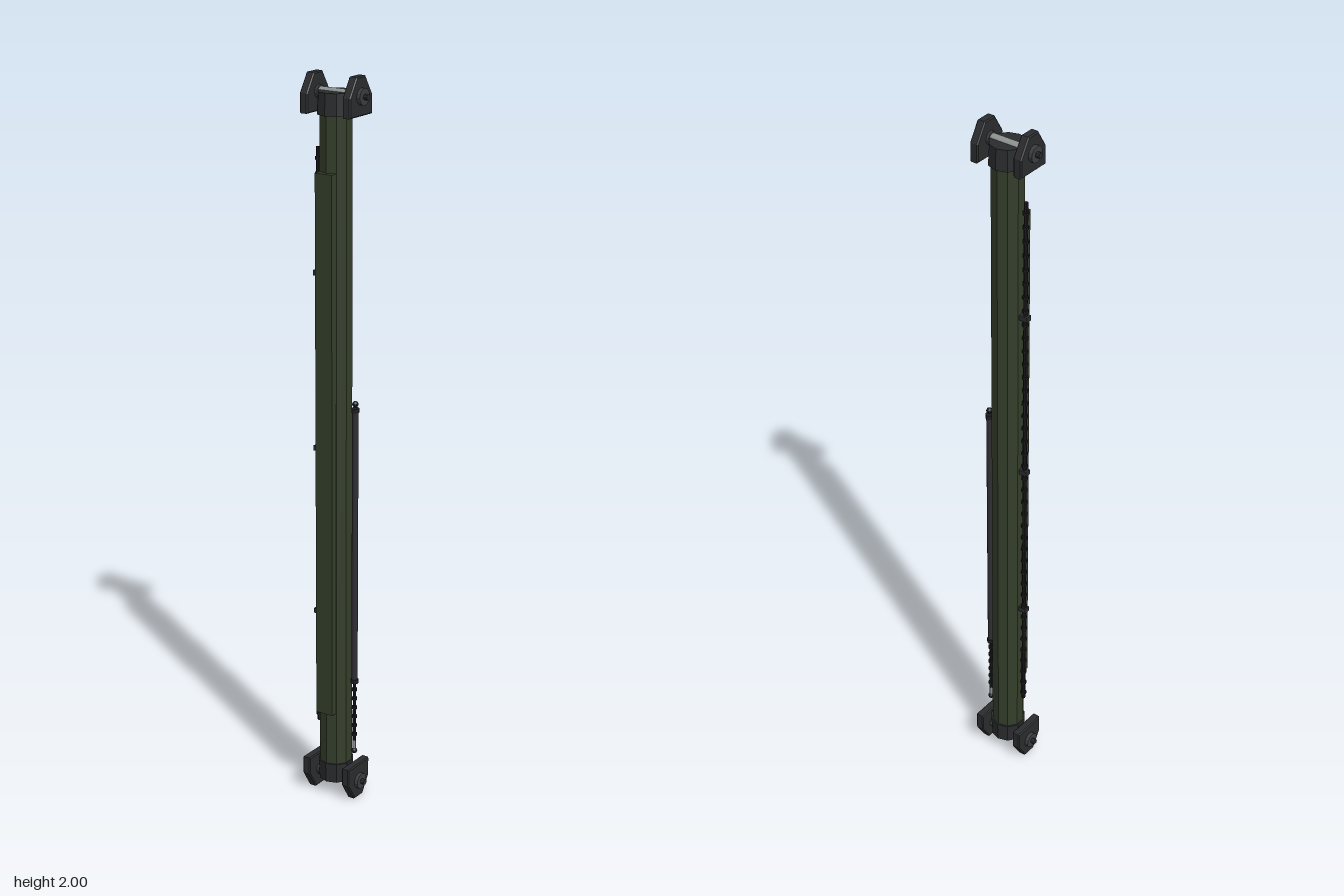
import * as THREE from 'three';

const mat = (name, color, flat = true) => {
  const m = new THREE.MeshStandardMaterial({ color, flatShading: flat });
  m.name = name;
  return m;
};

export function createModel() {
  const green = mat('olive green', 0x343f2b);
  const dark = mat('dark iron', 0x2b2c2e);
  const black = mat('black rubber', 0x1d1d20);
  const gunmetal = mat('gunmetal', 0x2e2e34, false);
  const steel = mat('steel', 0x8c9290, false);
  const boltGrey = mat('bolt grey', 0x3b3e41);

  const model = new THREE.Group();
  model.name = 'strut';
  const strut = new THREE.Group();
  strut.name = 'strutAssembly';
  strut.position.z = -0.0035;
  model.add(strut);

  const add = (parent, name, geometry, material, x = 0, y = 0, z = 0) => {
    const mesh = new THREE.Mesh(geometry, material);
    mesh.name = name;
    mesh.position.set(x, y, z);
    parent.add(mesh);
    return mesh;
  };
  // Upright cylinder between two heights
  const post = (parent, name, rTop, rBottom, y0, y1, sides, material, x = 0) =>
    add(parent, name, new THREE.CylinderGeometry(rTop, rBottom, y1 - y0, sides), material, x, (y0 + y1) / 2);
  // Cylinder lying along x between two positions
  const axle = (parent, name, r, x0, x1, y, sides, material) => {
    const g = new THREE.CylinderGeometry(r, r, x1 - x0, sides).rotateZ(Math.PI / 2);
    return add(parent, name, g, material, (x0 + x1) / 2, y);
  };

  // Main tube and its front cover panel
  post(strut, 'mainTube', 0.0435, 0.046, 0.08, 1.92, 10, green);
  add(strut, 'frontPanel', new THREE.BoxGeometry(0.052, 1.5, 0.022), green, 0, 1.005, 0.0455);

  // Lug outline: square at the tube, tapering to the tip
  const outline = new THREE.Shape([
    [-0.047, 0.003], [0.047, 0.003], [0.047, 0.05], [0.018, 0.097], [-0.018, 0.097], [-0.047, 0.05],
  ].map(([z, y]) => new THREE.Vector2(z, y)));
  const lugGeometry = new THREE.ExtrudeGeometry(outline, {
    depth: 0.018, bevelEnabled: true, bevelSize: 0.003, bevelThickness: 0.003, bevelSegments: 1,
  }).translate(0, 0, -0.009).rotateY(Math.PI / 2);

  // Fork end: collar, cross pin, and a lug with boss and pin tip each side
  const makeEnd = (name) => {
    const end = new THREE.Group();
    end.name = name;
    post(end, 'collar', 0.047, 0.05, 0, 0.057, 10, dark);
    axle(end, 'crossPin', 0.014, -0.054, 0.054, 0.05, 16, steel);
    for (const s of [-1, 1]) {
      const span = (a, b) => (s > 0 ? [a, b] : [-b, -a]);
      add(end, 'lug', lugGeometry, dark, s * 0.065, 0);
      axle(end, 'washer', 0.018, ...span(0.046, 0.055), 0.05, 12, boltGrey);
      axle(end, 'boss', 0.022, ...span(0.075, 0.087), 0.05, 12, boltGrey);
      axle(end, 'pinTip', 0.008, ...span(0.085, 0.098), 0.05, 8, dark);
    }
    strut.add(end);
    return end;
  };
  makeEnd('upperFork').position.y = 1.9;
  const lower = makeEnd('lowerFork');
  lower.position.y = 0.1;
  lower.rotation.x = Math.PI;

  // Ribbed cable along the right flank
  const cable = new THREE.Group();
  cable.name = 'ribbedCable';
  strut.add(cable);
  post(cable, 'cableCore', 0.0055, 0.0055, 0.2, 1.81, 8, black, -0.055);
  for (let i = 0; i < 40; i++) {
    const y = 0.22 + i * 0.04;
    post(cable, 'cableRib', 0.0085, 0.0085, y - 0.004, y + 0.004, 8, black, -0.055);
  }
  // Clamps tying the cable to the tube
  for (const y of [0.53, 1.0, 1.48]) {
    add(cable, 'cableClamp', new THREE.BoxGeometry(0.026, 0.014, 0.018), dark, -0.053, y);
  }

  // Slim damper along the left flank
  const damper = new THREE.Group();
  damper.name = 'damper';
  damper.position.z = 0.0035;
  strut.add(damper);
  const dx = 0.064;
  post(damper, 'damperBody', 0.0085, 0.0085, 0.35, 1.125, 12, gunmetal, dx);
  post(damper, 'damperCap', 0.0105, 0.0105, 1.122, 1.134, 12, black, dx);
  post(damper, 'damperCollar', 0.0105, 0.0105, 0.345, 0.357, 12, black, dx);
  post(damper, 'damperRod', 0.0045, 0.0045, 0.17, 0.36, 8, black, dx);
  for (let i = 0; i < 6; i++) {
    const y = 0.19 + i * 0.027;
    post(damper, 'rodRib', 0.0075, 0.0075, y - 0.004, y + 0.004, 8, black, dx);
  }
  post(damper, 'rodTip', 0.0045, 0.0045, 0.14, 0.172, 8, steel, dx);
  for (const y of [0.14, 1.145]) {
    add(damper, 'damperBall', new THREE.SphereGeometry(0.0085, 10, 8), black, dx, y);
  }

  return model;
}
